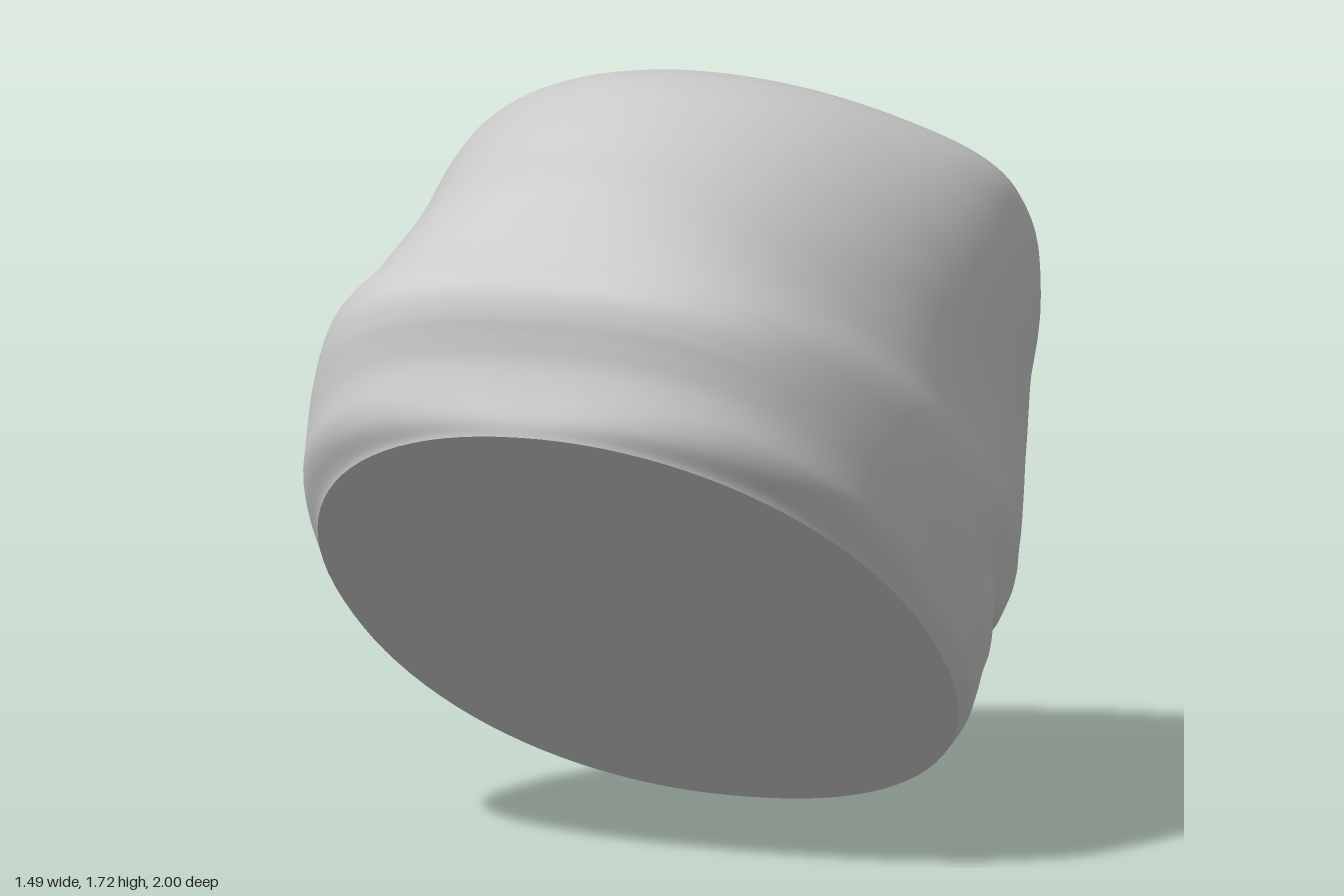
import * as THREE from 'three';

// Each section of the cap: front point (z, y), back point (z, y), half width
const SECTIONS = [
  [0.998, 1.06, -0.465, 0.003, 0.705],
  [0.992, 1.1, -0.545, 0.045, 0.725],
  [0.965, 1.16, -0.57, 0.1, 0.732],
  [0.945, 1.22, -0.565, 0.155, 0.737],
  [0.94, 1.28, -0.605, 0.18, 0.742],
  [0.937, 1.33, -0.615, 0.24, 0.746],
  [0.92, 1.38, -0.625, 0.285, 0.748],
  [0.88, 1.415, -0.72, 0.237, 0.748],
  [0.83, 1.44, -0.85, 0.285, 0.738],
  [0.77, 1.475, -0.97, 0.345, 0.712],
  [0.7, 1.53, -1.0, 0.41, 0.694],
  [0.62, 1.58, -0.96, 0.5, 0.682],
  [0.48, 1.625, -0.88, 0.66, 0.68],
  [0.3, 1.68, -0.865, 0.8, 0.68],
  [0.1, 1.72, -0.825, 0.97, 0.668],
  [-0.1, 1.715, -0.81, 1.15, 0.64],
  [-0.3, 1.65, -0.79, 1.28, 0.55],
  [-0.46, 1.58, -0.745, 1.385, 0.36],
  [-0.63, 1.495, -0.63, 1.495, 0],
];
// Smoother front and back lines, without folds, that rule the sides
const RELAXED = [
  [0.998, 1.06, -0.465, 0.003],
  [0.935, 1.19, -0.57, 0.105],
  [0.86, 1.32, -0.69, 0.205],
  [0.74, 1.45, -0.92, 0.35],
  [0.48, 1.61, -0.96, 0.66],
  [-0.08, 1.7, -0.85, 1.12],
  [-0.63, 1.495, -0.63, 1.495],
];
const LAST = SECTIONS.length - 1;
const AROUND = 96;
const ROWS = 144;
const { lerp, smoothstep } = THREE.MathUtils;

const curve = (list, pick) => new THREE.CatmullRomCurve3(
  list.map((s) => new THREE.Vector3(...pick(s))), false, 'catmullrom', 0.5);
const frontCurve = curve(SECTIONS, (s) => [s[4], s[1], s[0]]);
const backCurve = curve(SECTIONS, (s) => [0, s[3], s[2]]);
const frontRelaxed = curve(RELAXED, (s) => [0, s[1], s[0]]);
const backRelaxed = curve(RELAXED, (s) => [0, s[3], s[2]]);

// Squared-off cosine or sine for a superellipse
const squared = (v, n) => Math.sign(v) * Math.abs(v) ** (2 / n);
const bell = (v, width) => Math.exp(-((v / width) ** 2));

// Point on the cloth: t runs rim to crown, angle runs front to left
function clothPoint(t, angle) {
  const k = t * LAST;
  const front = frontCurve.getPoint(t);
  const back = backCurve.getPoint(t);
  const halfWidth = front.x;

  // Full brow above the rim, arched crown, full shoulders behind
  const frontPower = 2.08 + 0.42 * smoothstep(k, 0, 2) - 0.65 * smoothstep(k, 7, 13);
  const backPower = 2.2 + 0.35 * bell(k - 14, 2);
  const power = Math.cos(angle) > 0 ? frontPower : backPower;
  const c = squared(Math.cos(angle), power);
  const s = squared(Math.sin(angle), power);

  // Folds fade out from the centre line to the sides
  const fadeStart = lerp(0.25, 0.7, smoothstep(k, 7, 10));
  front.lerp(frontRelaxed.getPoint(t), 1 - smoothstep(c, 0.5, 1));
  back.lerp(backRelaxed.getPoint(t), 1 - smoothstep(-c, fadeStart, 0.98));

  // Soft diagonal crease beside the back lobe, and a pinch at the side folds
  const crease = 0.022 * bell(k - 12.2 - 1.4 * (c + 0.8), 0.9) * bell(c + 0.6, 0.35);
  const pinch = 0.06 * bell(k - 7, 2) * bell(c + 0.4, 0.25);
  const scale = 1 - crease;
  const f = (1 + c * scale) / 2;
  return new THREE.Vector3(
    halfWidth * s * (scale - pinch),
    lerp(back.y, front.y, f),
    lerp(back.z, front.z, f));
}

// Shell lofted through the sections, closed at the crown
function makeShell() {
  const positions = [];
  const indices = [];
  for (let j = 0; j < ROWS; j++) {
    for (let i = 0; i < AROUND; i++) {
      positions.push(...clothPoint(j / ROWS, (i / AROUND) * Math.PI * 2).toArray());
    }
  }
  const crown = ROWS * AROUND;
  positions.push(...clothPoint(1, 0).toArray());
  for (let j = 0; j < ROWS; j++) {
    for (let i = 0; i < AROUND; i++) {
      const a = j * AROUND + i;
      const b = j * AROUND + ((i + 1) % AROUND);
      if (j === ROWS - 1) indices.push(a, b, crown);
      else indices.push(a, b, b + AROUND, a, b + AROUND, a + AROUND);
    }
  }
  return buildGeometry(positions, indices);
}

// Flat face closing the tilted opening
function makeOpening() {
  const s = SECTIONS[0];
  const positions = [0, (s[1] + s[3]) / 2, (s[0] + s[2]) / 2];
  const indices = [];
  for (let i = 0; i < AROUND; i++) {
    positions.push(...clothPoint(0, (i / AROUND) * Math.PI * 2).toArray());
    indices.push(0, 1 + ((i + 1) % AROUND), 1 + i);
  }
  return buildGeometry(positions, indices);
}

function buildGeometry(positions, indices) {
  const geometry = new THREE.BufferGeometry();
  geometry.setAttribute('position', new THREE.Float32BufferAttribute(positions, 3));
  geometry.setIndex(indices);
  geometry.computeVertexNormals();
  return geometry;
}

export function createModel() {
  const group = new THREE.Group();
  group.name = 'knitCap';
  const material = new THREE.MeshStandardMaterial({ color: 0xcccccc });
  const shell = new THREE.Mesh(makeShell(), material);
  shell.name = 'capShell';
  const opening = new THREE.Mesh(makeOpening(), material);
  opening.name = 'capOpening';
  group.add(shell, opening);
  return group;
}
